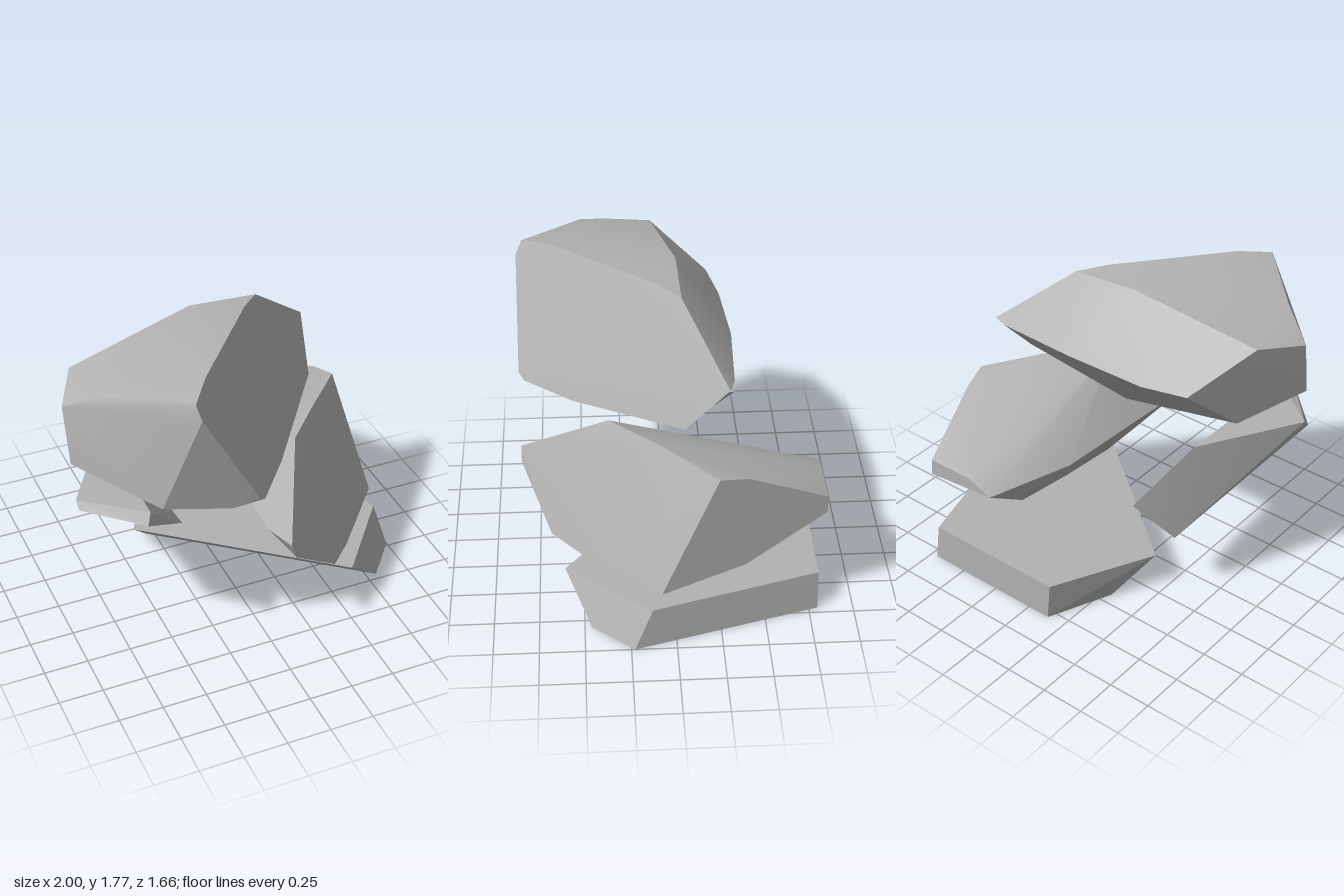
import * as THREE from 'three';
import { ConvexGeometry } from 'three/addons/geometries/ConvexGeometry.js';
import { toCreasedNormals } from 'three/addons/utils/BufferGeometryUtils.js';

const stone = new THREE.MeshStandardMaterial({ color: 0xb2b2b2 });
stone.name = 'grey stone';

// A chiselled rock: the convex hull of its corners, soft over shallow edges.
function rock(name, corners, crease) {
  const hull = new ConvexGeometry(corners.map((c) => new THREE.Vector3(...c)));
  const mesh = new THREE.Mesh(toCreasedNormals(hull, crease), stone);
  mesh.name = name;
  return mesh;
}

export function createModel() {
  const group = new THREE.Group();
  group.name = 'floatingRocks';

  // Flat base slab with an undercut front
  group.add(rock('baseSlab', [
    [0.57, 0.23, 0.6], [0.95, 0.23, 0.13], [0.68, 0.23, -0.8], [-0.16, 0.23, -0.8], [-0.45, 0.23, -0.22],
    [0.81, 0, 0.46], [1, 0, 0.23], [0.71, 0, -0.8], [-0.14, 0, -0.8], [-0.3, 0, -0.43],
  ], 0.1));

  group.add(rock('middleRock', [
    // large cut face
    [0.31, 1.04, 0.34], [0.55, 1.04, 0.08], [0.82, 0.99, -0.23], [0.94, 0.33, 0.08],
    [0.58, 0.33, 0.5], [0.42, 0.36, 0.67], [0.1, 0.63, 0.83], [0.07, 0.72, 0.83],
    // right side and back edge
    [0.776, 0.96, -0.39], [0.805, 0.41, -0.38], [0.66, 0.74, -0.83], [0.666, 0.64, -0.83],
    [0.38, 0.74, -0.83], [0.23, 0.68, -0.83],
    // left rim and underside
    [0.07, 0.69, -0.34], [0.03, 0.69, 0.62], [0.2, 0.54, -0.6], [0.13, 0.57, -0.3],
    [0.31, 0.33, 0.3], [0.45, 0.33, 0.02],
  ], 0.5));

  group.add(rock('topRock', [
    // large cut face
    [-0.46, 1.74, 0.79], [-0.44, 1.66, 0.825], [-0.12, 1.09, 0.83], [-0.08, 1.06, 0.8], [0.14, 1.06, 0.53],
    [0.58, 1.15, -0.06], [0.63, 1.42, -0.29], [0.24, 1.75, -0.06], [0.12, 1.775, 0.07], [-0.34, 1.775, 0.63],
    // front left facets
    [-0.27, 1.06, 0.81], [-0.63, 1.12, 0.75], [-0.99, 1.26, 0.38], [-1, 1.58, 0.32], [-0.79, 1.69, 0.46],
    // back ridge
    [0.54, 1.42, -0.32], [0.07, 1.42, -0.34], [-0.4, 1.4, -0.31], [-0.66, 1.41, -0.255], [-0.87, 1.63, 0.06],
    // crown and underside
    [-0.15, 1.775, -0.05], [-0.78, 1.14, 0.04], [-0.27, 1.06, 0.05], [-0.1, 1.06, -0.05],
  ], 0.5));

  // Leaning shard on the right-hand side
  group.add(rock('smallShard', [
    [-0.98, 1, 0.44], [-0.98, 1.04, 0.4], [-0.7, 1.01, 0.72], [-0.66, 1.04, 0.65], [-0.38, 0.69, 0.38],
    [-0.48, 0.56, 0.06], [-0.6, 0.45, -0.25], [-0.44, 0.7, -0.42], [-0.65, 1.04, -0.16],
  ], 0.35));

  return group;
}
